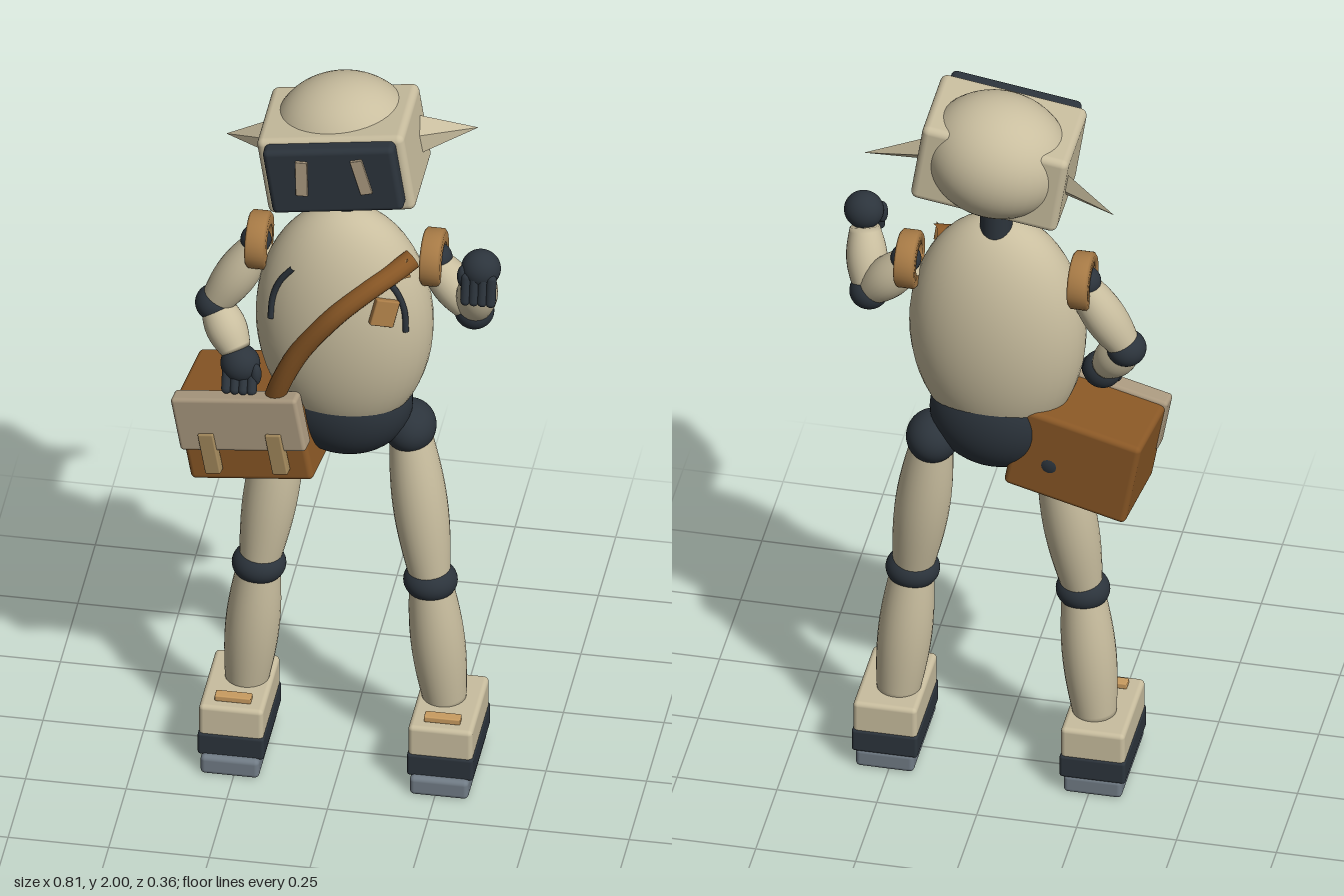
import * as THREE from 'three';
import { RoundedBoxGeometry } from 'three/addons/geometries/RoundedBoxGeometry.js';

const material = (name, color) => {
  const m = new THREE.MeshStandardMaterial({ color });
  m.name = name;
  return m;
};

export function createModel() {
  const cream = material('cream shell', 0xc9be9f);
  const dark = material('dark joint', 0x2c343c);
  const brown = material('brown leather', 0x8a5826);
  const tan = material('tan trim', 0xa87b46);
  const flapTan = material('pale flap', 0xab9a80);
  const buckleTan = material('buckle', 0xa3895c);
  const plateTan = material('toe plate', 0xc99c60);
  const grey = material('grey sole', 0x717c86);

  const model = new THREE.Group();
  model.name = 'robot';
  const v = (p) => new THREE.Vector3(...p);
  const up = new THREE.Vector3(0, 1, 0);

  function add(name, geometry, mat, pos = [0, 0, 0], parent = model) {
    const mesh = new THREE.Mesh(geometry, mat);
    mesh.name = name;
    mesh.position.set(...pos);
    parent.add(mesh);
    return mesh;
  }
  function ellipsoid(name, mat, pos, radii, parent = model) {
    const g = new THREE.SphereGeometry(1, 40, 28).scale(...radii);
    return add(name, g, mat, pos, parent);
  }
  function box(name, mat, pos, size, round = 0.01, parent = model) {
    return add(name, new RoundedBoxGeometry(...size, 3, round), mat, pos, parent);
  }
  // Swelling limb from a to b: widest in the middle
  function limb(name, mat, a, b, r, end = 0.72) {
    const A = v(a), B = v(b), len = A.distanceTo(B);
    const pts = [new THREE.Vector2(0, 0)];
    for (let i = 0; i <= 14; i++) {
      const t = i / 14;
      pts.push(new THREE.Vector2(r * (end + (1 - end) * Math.sin(Math.PI * t)), t * len));
    }
    pts.push(new THREE.Vector2(0, len));
    const mesh = add(name, new THREE.LatheGeometry(pts, 28), mat, a);
    mesh.quaternion.setFromUnitVectors(up, B.sub(A).normalize());
    return mesh;
  }

  // Torso, pelvis and neck
  const body = { y: 1.31, rx: 0.22, ry: 0.33, rz: 0.145 };
  const chestZ = (x, y) => body.rz * Math.sqrt(
    Math.max(0, 1 - (x / body.rx) ** 2 - ((y - body.y) / body.ry) ** 2));
  ellipsoid('torso', cream, [0, body.y, 0], [body.rx, body.ry, body.rz]);
  ellipsoid('pelvis', dark, [0, 1.06, -0.01], [0.167, 0.153, 0.116]);
  add('neck', new THREE.CylinderGeometry(0.04, 0.04, 0.14, 28), dark, [0, 1.66, -0.02]);

  // Head, tilted to one side
  const head = new THREE.Group();
  head.name = 'head';
  head.position.set(0, 1.822, 0);
  head.rotation.z = 0.15;
  model.add(head);
  box('headShell', cream, [0, 0, 0.0125], [0.37, 0.22, 0.245], 0.018, head);
  ellipsoid('skull', cream, [0, 0.02, -0.02], [0.18, 0.158, 0.158], head);
  box('faceScreen', dark, [0, 0.008, 0.145], [0.33, 0.185, 0.05], 0.014, head);
  for (const s of [-1, 1]) {
    const eye = box('eye', flapTan, [s * 0.075, 0.023, 0.173], [0.03, 0.1, 0.009], 0.002, head);
    eye.rotation.z = s * 0.13;
    const base = new THREE.Vector3(s * 0.175, 0, -0.04);
    const tip = new THREE.Vector3(s * 0.317, -0.02, -0.092);
    const len = base.distanceTo(tip);
    const cone = new THREE.ConeGeometry(0.05, len, 4).toNonIndexed();
    cone.computeVertexNormals();
    cone.scale(1, 1, 0.42);
    const ear = add('ear', cone, cream, base.clone().lerp(tip, 0.5).toArray(), head);
    ear.quaternion.setFromUnitVectors(up, tip.sub(base).normalize());
    // Keep the wide side of the ear upright
    ear.rotateY(s * Math.PI);
  }

  // Shoulder rings and chest seams
  const ringProfile = [[0.04, -0.026], [0.066, -0.026], [0.073, -0.02], [0.073, 0.02],
    [0.066, 0.026], [0.04, 0.026], [0.04, -0.026]].map((p) => new THREE.Vector2(...p));
  for (const s of [-1, 1]) {
    const ring = add('shoulderRing', new THREE.LatheGeometry(ringProfile, 36), tan,
      [s * 0.217, 1.495, -0.025]);
    ring.rotation.z = Math.PI / 2;
    ellipsoid('shoulderJoint', dark, [s * 0.225, 1.495, -0.025], [0.038, 0.038, 0.038]);
    const seam = [[0.112, 1.505], [0.145, 1.46], [0.163, 1.41], [0.168, 1.35]]
      .map(([x, y]) => new THREE.Vector3(s * x, y, chestZ(x, y) + 0.003));
    add('chestSeam', new THREE.TubeGeometry(new THREE.CatmullRomCurve3(seam), 24, 0.008, 8), dark);
  }

  // Arms: one raised, one resting on the bag
  const arms = [
    { name: 'left', shoulder: [0.215, 1.485, -0.025], elbow: [0.322, 1.365, 0],
      wrist: [0.347, 1.51, 0.065], hand: [0.352, 1.55, 0.078],
      from: [0.352, 1.54, 0.108], to: [0.352, 1.48, 0.122] },
    { name: 'right', shoulder: [-0.215, 1.485, -0.025], elbow: [-0.325, 1.3, -0.015],
      wrist: [-0.262, 1.2, 0.04], hand: [-0.25, 1.175, 0.055],
      from: [-0.248, 1.16, 0.075], to: [-0.246, 1.125, 0.098] },
  ];
  for (const a of arms) {
    limb(a.name + 'UpperArm', cream, a.shoulder, a.elbow, 0.053);
    ellipsoid(a.name + 'Elbow', dark, a.elbow, [0.049, 0.046, 0.049]);
    limb(a.name + 'Forearm', cream, a.elbow, a.wrist, 0.051);
    ellipsoid(a.name + 'Palm', dark, a.hand, [0.049, 0.049, 0.045]);
    for (let i = 0; i < 4; i++) {
      const dx = (i - 1.5) * 0.021;
      const A = v(a.from), B = v(a.to);
      const dir = B.clone().sub(A);
      const finger = add(a.name + 'Finger', new THREE.CapsuleGeometry(0.0125, dir.length(), 6, 12),
        dark, A.add(B).multiplyScalar(0.5).toArray());
      finger.position.x += dx;
      finger.quaternion.setFromUnitVectors(up, dir.normalize());
    }
    const side = Math.sign(a.hand[0]);
    ellipsoid(a.name + 'Thumb', dark,
      [a.hand[0] - side * 0.042, a.hand[1] - 0.015, a.hand[2] + 0.02], [0.014, 0.03, 0.016]);
  }

  // Legs and boots
  for (const s of [-1, 1]) {
    const hip = [s * 0.155, 0.975, -0.035], knee = [s * 0.213, 0.543, 0];
    ellipsoid('hip', dark, hip, [0.066, 0.066, 0.072]);
    limb('thigh', cream, hip, knee, 0.068);
    ellipsoid('knee', dark, knee, [0.067, 0.052, 0.063]);
    limb('shin', cream, knee, [s * 0.247, 0.17, -0.015], 0.067, 0.78);
    const x = s * 0.26;
    box('bootUpper', cream, [x, 0.145, 0.012], [0.16, 0.09, 0.25], 0.012);
    box('bootBand', dark, [x, 0.078, 0.012], [0.165, 0.064, 0.256], 0.008);
    box('sole', grey, [x, 0.026, 0.021], [0.146, 0.052, 0.272], 0.012);
    box('toePlate', plateTan, [x, 0.197, 0.095], [0.09, 0.016, 0.028], 0.003);
  }

  // Shoulder bag, slightly turned and tilted
  const bag = new THREE.Group();
  bag.name = 'bag';
  bag.position.set(-0.22, 0.99, 0);
  bag.rotation.set(0, -0.11, 0.18, 'YXZ');
  model.add(bag);
  box('bagBody', brown, [0, -0.003, 0.002], [0.318, 0.24, 0.225], 0.014, bag);
  box('bagFlap', flapTan, [0, 0.05, 0.108], [0.326, 0.152, 0.05], 0.01, bag);
  for (const s of [-1, 1]) {
    box('bagBuckle', buckleTan, [s * 0.087, -0.03, 0.128], [0.04, 0.115, 0.026], 0.004, bag);
  }

  // Strap across the chest with its clips
  const strapPath = new THREE.CatmullRomCurve3([
    [-0.17, 1.07, 0.085], [-0.14, 1.17, 0.112], [-0.09, 1.28, 0.13], [0, 1.405, 0.138],
    [0.08, 1.475, 0.112], [0.13, 1.505, 0.08], [0.175, 1.53, 0.04]].map(v));
  add('strap', new THREE.TubeGeometry(strapPath, 48, 0.026, 14), brown);
  const clip = box('strapClip', tan, [0.118, 1.415, 0.116], [0.062, 0.07, 0.02], 0.004);
  clip.rotation.set(-0.15, 0.5, -0.25);
  const point = add('strapPoint', new THREE.ConeGeometry(0.024, 0.05, 4), tan, [0.16, 1.525, 0.068]);
  point.rotation.z = -0.3;

  return model;
}
